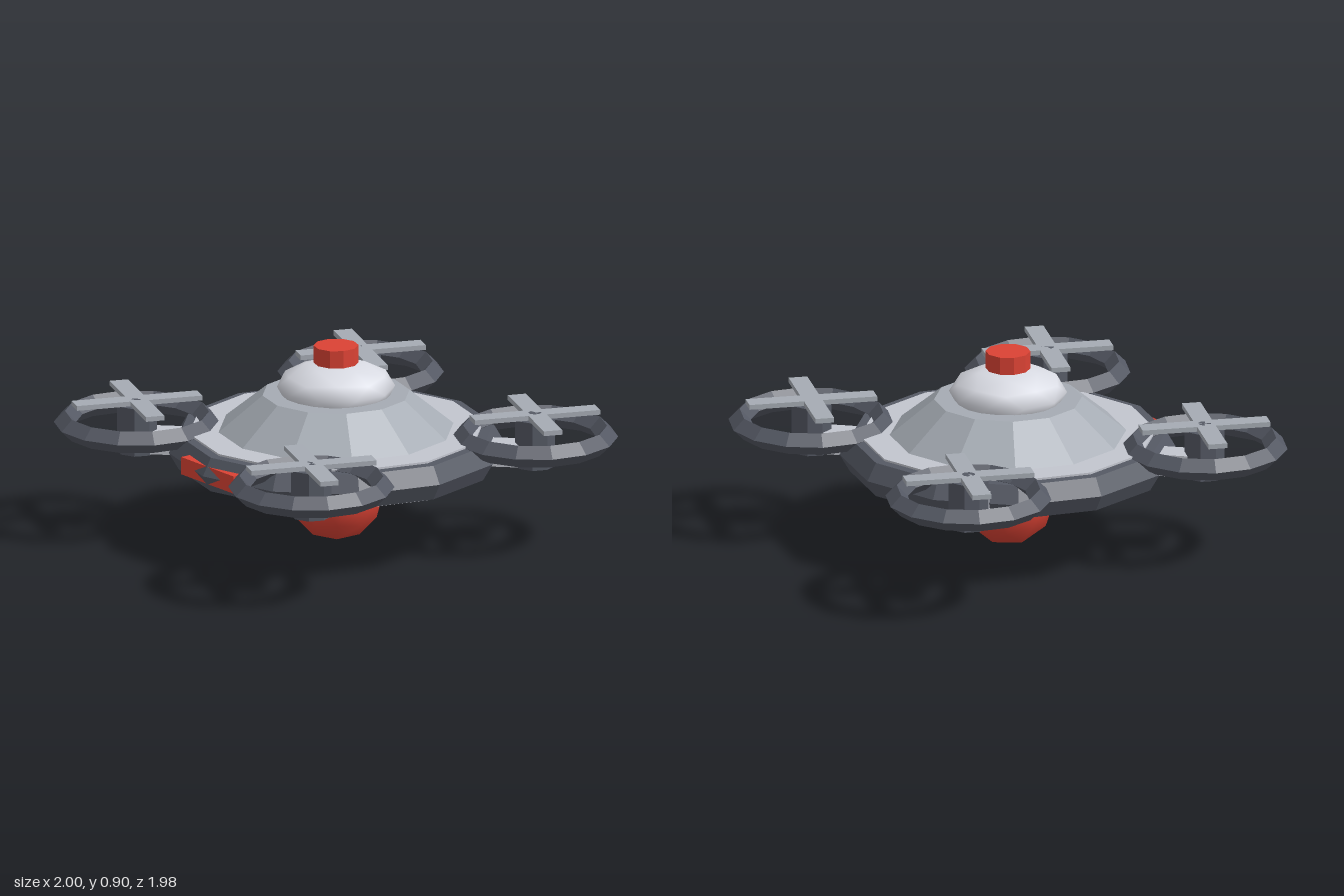
import * as THREE from 'three';

const mat = (color, flatShading = true) => new THREE.MeshStandardMaterial({ color, flatShading });

export function createModel() {
  const group = new THREE.Group();
  const dark = mat(0x555964), pale = mat(0xc2c5ce), grey = mat(0xa5abb3);
  const red = mat(0xdb4234), white = mat(0xd9dbe3, false), redSmooth = mat(0xdb4234, false);

  const add = (parent, name, geometry, material, x = 0, y = 0, z = 0) => {
    const mesh = new THREE.Mesh(geometry, material);
    mesh.name = name;
    mesh.position.set(x, y, z);
    parent.add(mesh);
    return mesh;
  };
  // Flat-lying ring
  const ring = (radius, tube, sides, segments) =>
    new THREE.TorusGeometry(radius, tube, sides, segments).rotateX(-Math.PI / 2);
  // Icosphere with a vertex at each pole
  const ball = (radius) =>
    new THREE.IcosahedronGeometry(radius, 1).rotateZ(-Math.atan2(1, (1 + Math.sqrt(5)) / 2));

  // Saucer body
  add(group, 'hull', new THREE.CylinderGeometry(0.66, 0.66, 0.18, 12), pale, 0, 0.427);
  add(group, 'rim', ring(0.66, 0.09, 6, 12), dark, 0, 0.43);
  add(group, 'upperShell', new THREE.CylinderGeometry(0.33, 0.53, 0.165, 12), grey, 0, 0.597);
  add(group, 'dome', ball(0.263).scale(1, 0.44, 1), white, 0, 0.71);
  add(group, 'beacon', new THREE.CylinderGeometry(0.1, 0.1, 0.08, 10), red, 0, 0.86);

  // Belly sensor
  add(group, 'sensorMount', new THREE.CylinderGeometry(0.215, 0.27, 0.12, 10), dark, 0, 0.285);
  add(group, 'sensorBall', ball(0.21), redSmooth, 0, 0.21);

  // Front light bar, pierced by the rim's corner
  add(group, 'frontLight', new THREE.BoxGeometry(0.38, 0.08, 0.05), red, 0, 0.43, 0.7);

  // Four ducted rotors
  const armGeometry = new THREE.BoxGeometry(0.12, 0.1, 0.4);
  const podGeometry = new THREE.CylinderGeometry(0.09, 0.09, 0.22, 8);
  const ductGeometry = ring(0.32, 0.05, 4, 14);
  const hubGeometry = new THREE.CylinderGeometry(0.03, 0.03, 0.03, 8);
  const bladeGeometry = new THREE.BoxGeometry(0.58, 0.022, 0.085);
  for (const sx of [-1, 1]) {
    for (const sz of [-1, 1]) {
      const unit = new THREE.Group();
      unit.name = (sz > 0 ? 'front' : 'back') + (sx > 0 ? 'Left' : 'Right') + 'Rotor';
      unit.position.set(sx * 0.63, 0, sz * 0.63);
      const arm = add(unit, 'arm', armGeometry, pale, -sx * 0.14, 0.43, -sz * 0.14);
      arm.rotation.y = Math.atan2(sx, sz);
      add(unit, 'motorPod', podGeometry, dark, 0, 0.485);
      add(unit, 'duct', ductGeometry, dark, 0, 0.51);
      add(unit, 'hub', hubGeometry, dark, 0, 0.605);
      for (let i = 0; i < 2; i++) {
        const blade = add(unit, 'blade', bladeGeometry, grey, 0, 0.609);
        blade.rotation.y = -0.38 + i * Math.PI / 2;
      }
      group.add(unit);
    }
  }
  return group;
}
